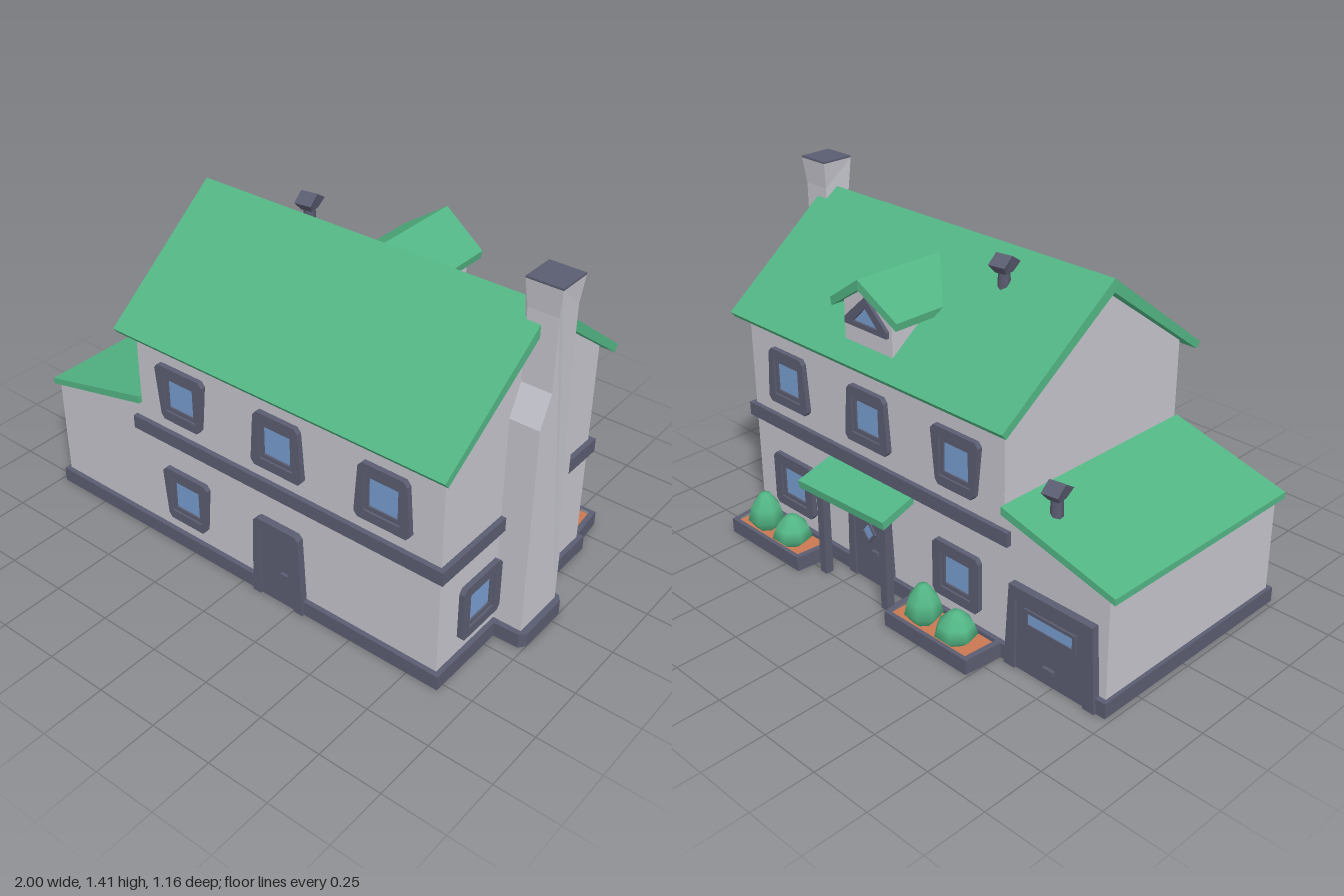
import * as THREE from 'three';

const mat = (name, color) => Object.assign(new THREE.MeshStandardMaterial({ color }), { name });

export function createModel() {
  const house = new THREE.Group();
  house.name = 'house';
  const wall = mat('pale wall', 0xc4c3cc);
  const trim = mat('slate trim', 0x5a5c70);
  const green = mat('roof and leaf green', 0x52b584);
  const glass = mat('window glass', 0x779ccf);
  const soil = mat('planter soil', 0xc87850);

  const add = (name, geo, material, parent = house) => {
    const m = new THREE.Mesh(geo, material);
    m.name = name;
    parent.add(m);
    return m;
  };
  const box = (name, x0, x1, y0, y1, z0, z1, material, parent) =>
    add(name, new THREE.BoxGeometry(x1 - x0, y1 - y0, z1 - z0)
      .translate((x0 + x1) / 2, (y0 + y1) / 2, (z0 + z1) / 2), material, parent);
  const shapeOf = (pts, hole) => {
    const s = new THREE.Shape(pts.map(p => new THREE.Vector2(...p)));
    if (hole) s.holes.push(new THREE.Path(hole.map(p => new THREE.Vector2(...p))));
    return s;
  };
  const extrude = (pts, depth, hole) =>
    new THREE.ExtrudeGeometry(shapeOf(pts, hole), { depth, bevelEnabled: false });
  // (x, y) outline pulled along z
  const alongZ = (pts, z0, z1, hole) => extrude(pts, z1 - z0, hole).translate(0, 0, z0);
  // (z, y) outline pulled along x
  const alongX = (pts, x0, x1) =>
    extrude(pts.map(([z, y]) => [-z, y]), x1 - x0).rotateY(Math.PI / 2).translate(x0, 0, 0);
  // (x, z) outline pulled up y
  const alongY = (pts, y0, y1, hole) => {
    const flip = a => a && a.map(([x, z]) => [x, -z]);
    return extrude(flip(pts), y1 - y0, flip(hole)).rotateX(-Math.PI / 2).translate(0, y0, 0);
  };
  const bend = (geo, rule) => {
    const p = geo.attributes.position, v = new THREE.Vector3();
    for (let i = 0; i < p.count; i++) {
      rule(v.fromBufferAttribute(p, i));
      p.setXYZ(i, v.x, v.y, v.z);
    }
    geo.computeVertexNormals();
    return geo;
  };
  const rect = (x0, x1, y0, y1) => [[x0, y0], [x1, y0], [x1, y1], [x0, y1]];

  // Walls
  add('mainWalls', alongX([[0.515, 0], [0.515, 0.93], [0.055, 1.27], [-0.4, 0.93], [-0.4, 0]], -0.5, 0.86), wall);
  add('garageWalls', alongZ([[-0.965, 0], [-0.5, 0], [-0.5, 0.585], [-0.965, 0.465]], -0.4, 0.515), wall);

  // Plinth and storey band
  box('plinth', -0.98, 0.88, 0, 0.06, -0.42, 0.535, trim);
  box('storeyBand', -0.53, 0.88, 0.46, 0.515, -0.42, 0.535, trim);

  // Main roof, slightly narrower at the eaves
  add('mainRoof', bend(alongX([[0.055, 1.3], [0.58, 0.905], [0.562, 0.882], [0.055, 1.25],
    [-0.443, 0.882], [-0.462, 0.905]], -0.56, 0.915), v => {
    if (v.y < 1) v.x += v.x < 0 ? 0.015 : -0.015;
  }), green);

  // Garage roof
  add('garageRoof', bend(alongZ([[-1, 0.455], [-0.5, 0.577], [-0.5, 0.608], [-1, 0.48]], -0.42, 0.53), v => {
    if (v.x < -0.9) v.z += v.z < 0 ? 0 : -0.01;
  }), green);

  // Chimney with shoulders and flared top
  add('chimney', bend(alongX([[0.17, 0], [0.17, 0.91], [0.115, 1.025], [0.115, 1.3], [0.125, 1.405],
    [-0.01, 1.405], [0.002, 1.3], [0.002, 1.025], [-0.055, 0.91], [-0.055, 0]], 0.86, 0.975), v => {
    if (v.y > 1.35) v.x += v.x < 0.9 ? -0.01 : 0.01;
  }), wall);
  box('chimneyCap', 0.85, 0.985, 1.403, 1.41, -0.01, 0.125, trim);
  add('chimneyPlinth', alongY([[0.86, 0.195], [0.98, 0.19], [1, 0.165], [1, -0.05], [0.98, -0.075], [0.86, -0.08]], 0, 0.06), trim);

  // Dormer
  add('dormerWalls', alongZ([[0.05, 0.93], [0.3, 0.93], [0.3, 1.12], [0.175, 1.2], [0.05, 1.12]], -0.39, -0.1), wall);
  add('dormerRoof', bend(alongZ([[0, 1.11], [0.005, 1.08], [0.175, 1.19], [0.345, 1.08], [0.35, 1.11], [0.175, 1.228]],
    -0.432, -0.035), v => {
    if (v.z < -0.4 && v.y < 1.15) v.z += 0.02;
  }), green);
  const dormerWindow = new THREE.Group();
  dormerWindow.name = 'dormerWindow';
  dormerWindow.position.set(0.175, 1.03, -0.39);
  dormerWindow.rotation.y = Math.PI;
  add('frame', alongZ([[-0.11, 0], [0.11, 0], [0.11, 0.025], [0, 0.125], [-0.11, 0.025]], 0, 0.014,
    [[-0.065, 0.02], [0.065, 0.02], [0, 0.085]]), trim, dormerWindow);
  add('pane', alongZ([[-0.065, 0.02], [0.065, 0.02], [0, 0.085]], 0, 0.005), glass, dormerWindow);
  house.add(dormerWindow);

  // Fittings are made facing +z, then turned onto a wall
  const mount = (name, side, at, y) => {
    const g = new THREE.Group();
    g.name = name;
    g.rotation.y = { front: 0, back: Math.PI, right: Math.PI / 2 }[side];
    if (side === 'right') g.position.set(0.86, y, at);
    else g.position.set(at, y, side === 'front' ? 0.515 : -0.4);
    house.add(g);
    return g;
  };

  // Stepped windows with uneven outer frames
  const addWindow = (side, at, y, top = 0.115, bottom = 0.115) => {
    const g = mount(side + 'Window', side, at, y);
    const c = 0.015;
    add('outerFrame', alongZ([[-bottom + c, -0.113], [bottom - c, -0.113], [bottom, -0.095], [top, 0.095],
      [top - c, 0.113], [-top + c, 0.113], [-top, 0.095], [-bottom, -0.095]], 0, 0.021, rect(-0.075, 0.075, -0.075, 0.075)), trim, g);
    add('innerFrame', alongZ(rect(-0.075, 0.075, -0.075, 0.075), 0, 0.013, rect(-0.06, 0.06, -0.058, 0.058)), trim, g);
    add('pane', alongZ(rect(-0.06, 0.06, -0.058, 0.058), 0, 0.006), glass, g);
  };
  [[-0.28, 0.115, 0.095], [0.175, 0.1, 0.115], [0.63, 0.1, 0.115]].forEach(([x, t, b]) => {
    addWindow('front', x, 0.687, t, b);
    addWindow('back', x, 0.687, t, b);
  });
  addWindow('front', -0.28, 0.232, 0.112, 0.095);
  addWindow('right', 0.285, 0.23);
  addWindow('back', -0.28, 0.232);
  addWindow('back', 0.63, 0.232);

  // Front and back doors
  for (const side of ['front', 'back']) {
    const g = mount(side + 'Door', side, 0.175, 0);
    add('frame', alongZ([[-0.118, 0], [-0.08, 0], [-0.08, 0.3], [0.08, 0.3], [0.08, 0], [0.118, 0],
      [0.1, 0.33], [0.085, 0.345], [-0.09, 0.345], [-0.107, 0.33]], 0, 0.03), trim, g);
    box('panel', -0.08, 0.08, 0, 0.3, 0, 0.022, trim, g);
    box('handle', 0.02, 0.052, 0.133, 0.15, 0.022, 0.034, trim, g);
    if (side === 'back') {
      const diamond = r => [[0, -r], [r * 0.8, 0], [0, r], [-r * 0.8, 0]];
      add('diamondFrame', alongZ(diamond(0.05), 0.02, 0.03, diamond(0.036)).translate(0, 0.22, 0), trim, g);
      add('diamondPane', alongZ(diamond(0.036), 0.02, 0.025).translate(0, 0.22, 0), glass, g);
    }
  }

  // Garage door
  const garage = mount('garageDoor', 'back', -0.735, 0);
  add('frame', alongZ([[-0.205, 0], [-0.155, 0], [-0.155, 0.29], [0.155, 0.29], [0.155, 0], [0.205, 0],
    [0.185, 0.335], [-0.185, 0.335]], 0, 0.03), trim, garage);
  box('panel', -0.155, 0.155, 0, 0.29, 0, 0.021, trim, garage);
  add('windowFrame', alongZ(rect(-0.115, 0.115, 0.195, 0.265), 0.02, 0.028, rect(-0.1, 0.1, 0.208, 0.252)), trim, garage);
  box('pane', -0.1, 0.1, 0.208, 0.252, 0.019, 0.024, glass, garage);
  box('handle', -0.025, 0.025, 0.06, 0.075, 0.021, 0.034, trim, garage);

  // Porch
  add('porchRoof', bend(alongX([[-0.39, 0.458], [-0.39, 0.428], [-0.555, 0.375], [-0.56, 0.408]], -0.05, 0.4), v => {
    if (v.z < -0.5) v.z -= v.x > 0 ? 0.008 : -0.01;
  }), green);
  for (const x of [0, 0.35]) box('porchPost', x - 0.017, x + 0.017, 0, 0.41, -0.512, -0.478, trim);

  // Planters with bushes
  const addBush = (x, r, h) => {
    const profile = [[0.5, 0], [1, 0.3], [0.82, 0.62], [0.3, 0.97], [0, 1]].map(([a, b]) => new THREE.Vector2(a * r, b * h));
    add('bush', new THREE.LatheGeometry(profile, 7), green).position.set(x, 0.04, -0.5);
  };
  for (const x of [-0.28, 0.635]) {
    add('planterRim', alongY([[x - 0.225, -0.41], [x - 0.21, -0.577], [x + 0.205, -0.577], [x + 0.222, -0.41]], 0, 0.06,
      [[x - 0.2, -0.42], [x - 0.19, -0.56], [x + 0.185, -0.56], [x + 0.2, -0.42]]), trim);
    box('planterFloor', x - 0.205, x + 0.2, 0.001, 0.02, -0.565, -0.41, trim);
    box('planterSoil', x - 0.202, x + 0.198, 0.02, 0.045, -0.565, -0.41, soil);
    addBush(x - 0.085, 0.08, 0.125);
    addBush(x + 0.08, 0.073, 0.16);
  }

  // Vent pipes with ridged cowls
  for (const [x, y, z] of [[-0.17, 1.315, -0.065], [-0.63, 0.7, -0.285]]) {
    const g = new THREE.Group();
    g.name = 'ventPipe';
    g.position.set(x, y, z);
    g.rotation.y = 0.15;
    add('pipe', new THREE.CylinderGeometry(0.021, 0.025, 0.12, 6).translate(0, -0.105, 0), trim, g);
    add('cowl', bend(alongX([[0, 0], [0.049, -0.032], [0.022, -0.065], [-0.022, -0.065], [-0.049, -0.032]], -0.034, 0.034), v => {
      if (v.y < -0.05) v.x *= 0.65;
    }), trim, g);
    house.add(g);
  }
  return house;
}
